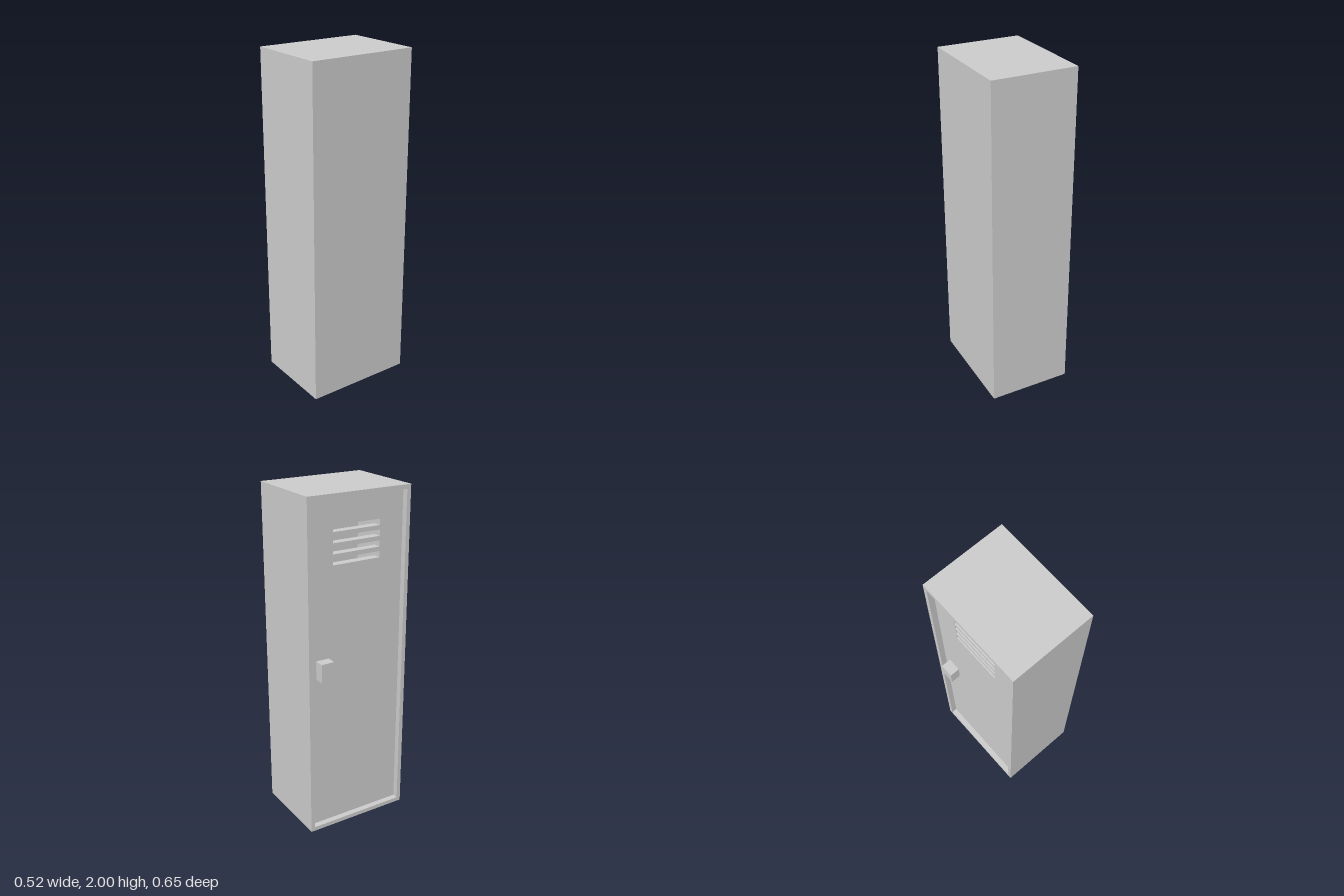
import * as THREE from 'three';

const material = new THREE.MeshStandardMaterial({ color: 0xcccccc, flatShading: true });
const HEIGHT = 2, DEPTH = 0.65, WALL = 0.025;
const FRONT = -0.24, BACK = 0.26; // the door side faces -x
const RECESS = 0.035, DOOR = 0.05;

// Rectangle outline in the z-y plane
function rect(Type, z0, z1, y0, y1) {
  const path = new Type();
  path.moveTo(z0, y0);
  path.lineTo(z1, y0);
  path.lineTo(z1, y1);
  path.lineTo(z0, y1);
  path.closePath();
  return path;
}

// Extrude a z-y outline along +x, from x0 to x1
function slab(name, shape, x0, x1) {
  const geometry = new THREE.ExtrudeGeometry(shape, { depth: x1 - x0, bevelEnabled: false });
  geometry.rotateY(Math.PI / 2).translate(x0, 0, 0);
  const mesh = new THREE.Mesh(geometry, material);
  mesh.name = name;
  return mesh;
}

function box(name, x0, x1, y0, y1, z0, z1) {
  const mesh = new THREE.Mesh(new THREE.BoxGeometry(x1 - x0, y1 - y0, z1 - z0), material);
  mesh.position.set((x0 + x1) / 2, (y0 + y1) / 2, (z0 + z1) / 2);
  mesh.name = name;
  return mesh;
}

export function createModel() {
  const locker = new THREE.Group();
  locker.name = 'locker';
  const half = DEPTH / 2, inner = half - WALL;

  // Cabinet: open rectangular tube
  const outline = rect(THREE.Shape, -half, half, 0, HEIGHT);
  outline.holes.push(rect(THREE.Path, -inner, inner, WALL, HEIGHT - WALL));
  locker.add(slab('cabinet', outline, FRONT, BACK));

  // Panel closing the far end of the cabinet
  locker.add(box('backPanel', BACK - WALL, BACK, WALL, HEIGHT - WALL, -inner, inner));

  // Recessed door with four vent slots
  const doorX = FRONT + RECESS;
  const door = rect(THREE.Shape, -inner, inner, WALL, HEIGHT - WALL);
  for (let i = 0; i < 4; i++) {
    const y = 1.79 - i * 0.06;
    door.holes.push(rect(THREE.Path, -0.15, 0.15, y, y + 0.035));
  }
  locker.add(slab('door', door, doorX, doorX + DOOR));

  // Latch handle standing out from the door
  locker.add(box('handle', -0.265, doorX, 0.97, 1.08, -0.26, -0.18));
  return locker;
}
